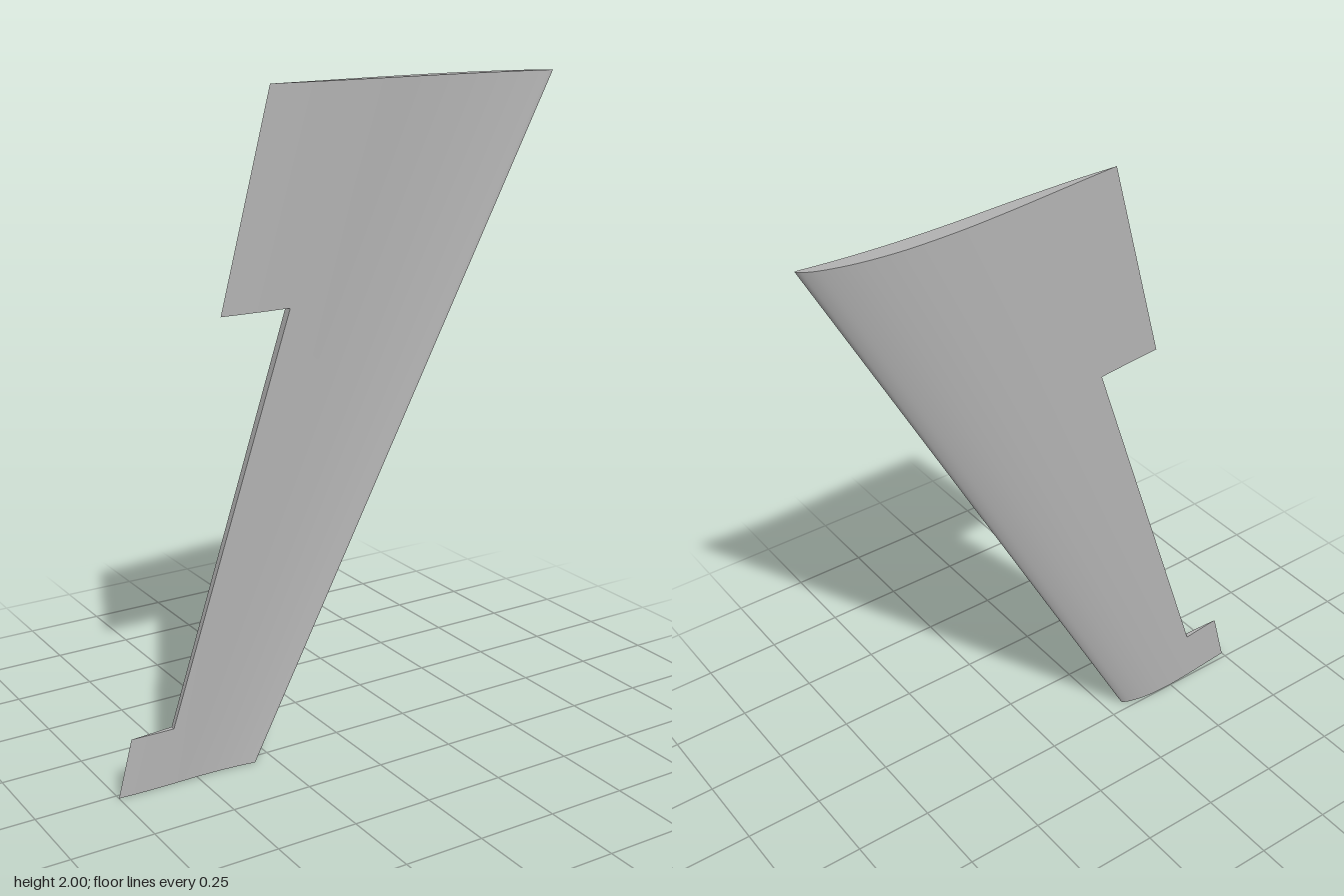
import * as THREE from 'three';
import { mergeGeometries, mergeVertices } from 'three/addons/utils/BufferGeometryUtils.js';

// Airfoil control stations (chord fraction) and root-section depths from the leading edge
const CHORD = [0, 0.012, 0.05, 0.12, 0.2, 0.3, 0.45, 0.6, 0.726, 0.87, 1];
const BACK = [0, -0.013, -0.031, -0.049, -0.06, -0.065, -0.06, -0.046, -0.031, -0.013, 0.002];
const FRONT = [0, 0.001, -0.003, -0.009, -0.013, -0.015, -0.012, -0.004, 0.001, 0.004, 0.002];
const STEPS = 40;   // chordwise samples
const CUT = 32;     // sample where the trailing-edge cutout begins
const TIP_CUT = 0.175, ROOT_CUT = 1.375;

const profile = depths => new THREE.SplineCurve(
  CHORD.map((c, i) => new THREE.Vector2(c, depths[i]))).getPoints(STEPS);
const back = profile(BACK), front = profile(FRONT);

// Points of one skin at height y, tapered, swept and twisted from root (y = 2) to tip (y = 0)
function section(side, y, from = 0, to = STEPS) {
  const t = 1 - y / 2;
  const lerp = THREE.MathUtils.lerp;
  return side.slice(from, to + 1).map(p => new THREE.Vector3(
    lerp(0.75, -0.31, t) - p.x * lerp(0.98, 0.44, t),
    y,
    lerp(0.028, 0.035, t) + p.y * lerp(1, 0.42, t) - 0.018 * t * p.x));
}

// Grid surface through rows of points
function patch(rows, flip = false) {
  const n = rows[0].length, index = [];
  for (let r = 0; r < rows.length - 1; r++) {
    for (let i = 0; i < n - 1; i++) {
      const a = r * n + i, b = a + 1, c = a + n, d = c + 1;
      if (flip) index.push(a, c, b, b, c, d);
      else index.push(a, b, c, b, d, c);
    }
  }
  const g = new THREE.BufferGeometry().setFromPoints(rows.flat());
  g.setIndex(index);
  g.computeVertexNormals();
  return g;
}

// Smooth skin: full-span forward panel plus the two trailing panels
function skin(side, flip) {
  const panel = (ys, from, to) => {
    const g = patch(ys.map(y => section(side, y, from, to)), flip);
    g.deleteAttribute('normal');
    return g;
  };
  const g = mergeVertices(mergeGeometries([
    panel([0, TIP_CUT, 0.575, 0.975, ROOT_CUT, 1.7, 2], 0, CUT),
    panel([0, TIP_CUT], CUT, STEPS),
    panel([ROOT_CUT, 1.7, 2], CUT, STEPS),
  ]), 1e-5);
  g.computeVertexNormals();
  return g;
}

// Flat end rib closing the section at height y
function rib(y, facesUp, from = 0) {
  return patch([section(back, y, from), section(front, y, from)], !facesUp);
}

export function createModel() {
  const wing = new THREE.Group();
  wing.name = 'wing';
  const grey = new THREE.MeshStandardMaterial({ color: 0xb4b4b4 });
  grey.name = 'wing grey';

  const add = (name, geometry) => {
    const mesh = new THREE.Mesh(geometry, grey);
    mesh.name = name;
    wing.add(mesh);
  };

  add('upperSkin', skin(back, false));
  add('lowerSkin', skin(front, true));
  add('rootRib', rib(2, true));
  add('tipRib', rib(0, false));

  // Walls of the trailing-edge cutout
  add('cutoutRootWall', rib(ROOT_CUT, false, CUT));
  add('cutoutTipWall', rib(TIP_CUT, true, CUT));
  const edge = side => [TIP_CUT, 0.575, 0.975, ROOT_CUT].map(y => section(side, y, CUT, CUT)[0]);
  add('cutoutSpar', patch([edge(front), edge(back)]));

  return wing;
}
